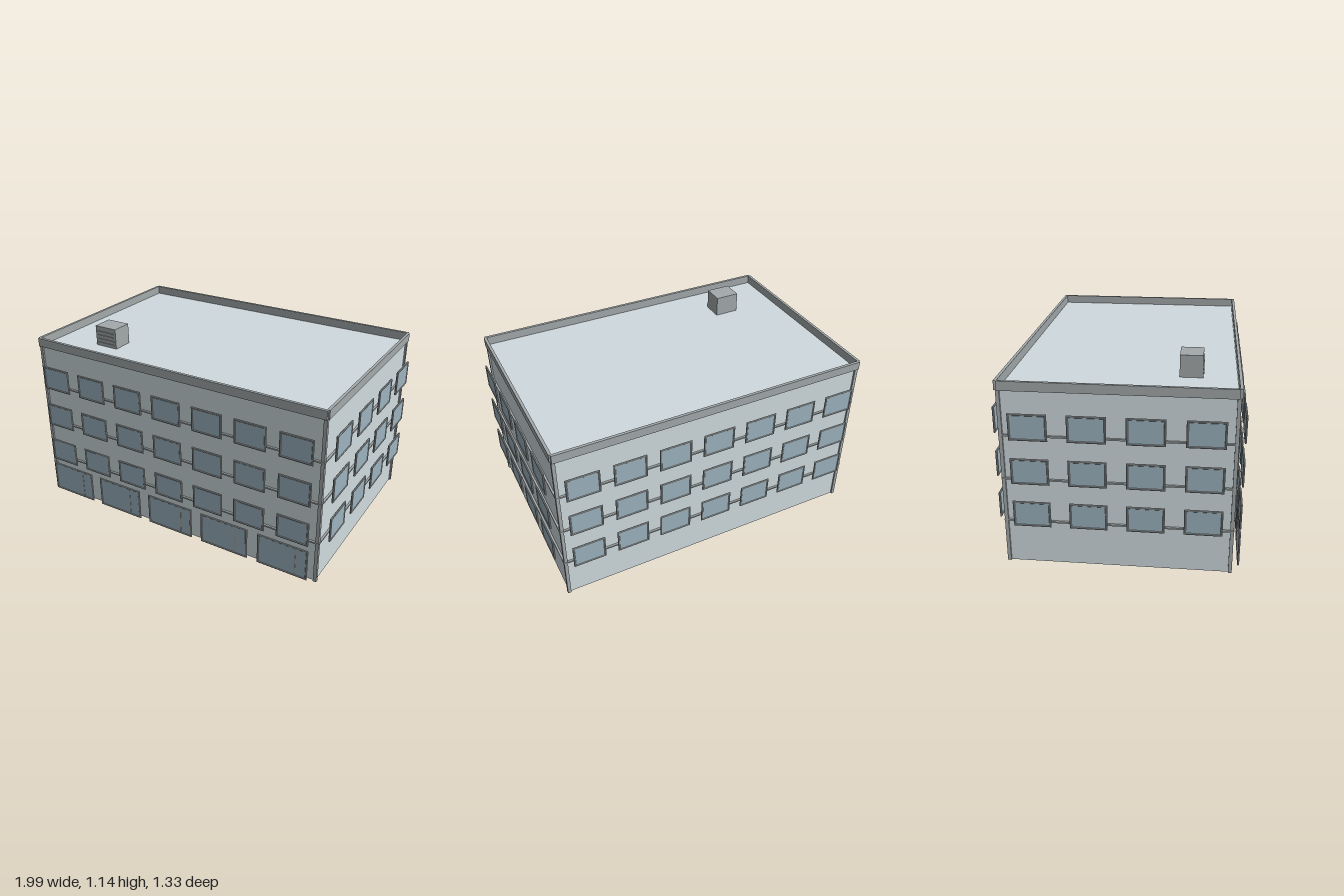
import * as THREE from 'three';

const wallMat = new THREE.MeshStandardMaterial({ color: 0xd0dbdf });
const trimMat = new THREE.MeshStandardMaterial({ color: 0xa3a9ab });
const glassMat = new THREE.MeshStandardMaterial({ color: 0x9db3be });

const HX = 0.947, HZ = 0.613, ROOF = 1.018; // half sizes of the body, roof level
const WIN_X = 0.991, WIN_Z = 0.658;         // planes the windows stand in

function box(parent, name, mat, w, h, d, x, y, z) {
  const mesh = new THREE.Mesh(new THREE.BoxGeometry(w, h, d), mat);
  mesh.name = name;
  mesh.position.set(x, y, z);
  parent.add(mesh);
  return mesh;
}

// Bevelled rectangular frame around a pane, facing +z and centred on its origin
function makeWindow(name, w, h) {
  const group = new THREE.Group();
  group.name = name;
  const bevel = 0.003, bar = 0.011;
  const a = w / 2 - bevel, b = h / 2 - bevel;
  const c = w / 2 - bar + bevel, d = h / 2 - bar + bevel;
  const shape = new THREE.Shape([[-a, -b], [a, -b], [a, b], [-a, b]].map(p => new THREE.Vector2(...p)));
  shape.holes.push(new THREE.Path([[-c, -d], [-c, d], [c, d], [c, -d]].map(p => new THREE.Vector2(...p))));
  const geo = new THREE.ExtrudeGeometry(shape, {
    depth: 0.005, bevelEnabled: true, bevelSize: bevel, bevelThickness: bevel, bevelSegments: 1,
  });
  geo.translate(0, 0, -0.0025);
  const frame = new THREE.Mesh(geo, trimMat);
  frame.name = 'frame';
  group.add(frame);
  box(group, 'glass', glassMat, w - 0.016, h - 0.016, 0.005, 0, 0, 0);
  return group;
}

export function createModel() {
  const model = new THREE.Group();
  model.name = 'building';

  // Body and corner posts
  box(model, 'walls', wallMat, HX * 2, ROOF, HZ * 2, 0, ROOF / 2, 0);
  for (const sx of [-1, 1]) for (const sz of [-1, 1]) {
    box(model, 'cornerPost', trimMat, 0.02, ROOF, 0.02, sx * HX, ROOF / 2, sz * HZ);
  }

  // Parapet, with the corners left notched
  const parapetY = (ROOF + 1.068) / 2, parapetH = 0.052;
  for (const s of [-1, 1]) {
    box(model, 'parapetLong', trimMat, 1.912, parapetH, 0.017, 0, parapetY, s * 0.6225);
    box(model, 'parapetShort', trimMat, 0.017, parapetH, 1.232, s * 0.9555, parapetY, 0);
  }

  // Upper floors: string courses and windows on all four sides
  for (let floor = 0; floor < 3; floor++) {
    const y = 0.324 + floor * 0.2535;
    const bandY = y - 0.064;
    for (const s of [-1, 1]) {
      box(model, 'bandLong', trimMat, 1.914, 0.009, 0.012, 0, bandY, s * 0.619);
      box(model, 'bandShort', trimMat, 0.012, 0.009, 1.246, s * 0.9535, bandY, 0);

      for (let i = -3; i <= 3; i++) {
        const win = makeWindow('longSideWindow', 0.195, 0.15);
        win.position.set(i * 0.271, y, s * WIN_Z);
        if (s < 0) win.rotation.y = Math.PI;
        model.add(win);
      }
      for (let i = -1.5; i <= 1.5; i++) {
        const win = makeWindow('shortSideWindow', 0.205, 0.15);
        win.position.set(s * WIN_X, y, i * 0.306);
        win.rotation.y = s * Math.PI / 2;
        model.add(win);
      }
    }
  }

  // Ground floor shop fronts, each with a mullion beside its door
  for (let i = -2; i <= 2; i++) {
    const shop = makeWindow('shopFront', 0.313, 0.197);
    shop.position.set(i * 0.379, 0.12, WIN_Z);
    box(shop, 'mullion', trimMat, 0.008, 0.18, 0.009, 0.079, 0, 0);
    model.add(shop);
  }

  // Rooftop ventilation unit with slats
  const unit = new THREE.Group();
  unit.name = 'roofUnit';
  unit.position.set(-0.591, ROOF, 0.366);
  box(unit, 'unitBody', trimMat, 0.15, 0.124, 0.126, 0, 0.062, 0);
  for (const y of [0.02, 0.043, 0.067, 0.091]) {
    box(unit, 'slat', trimMat, 0.12, 0.007, 0.008, 0, y, 0.064);
  }
  model.add(unit);

  return model;
}
